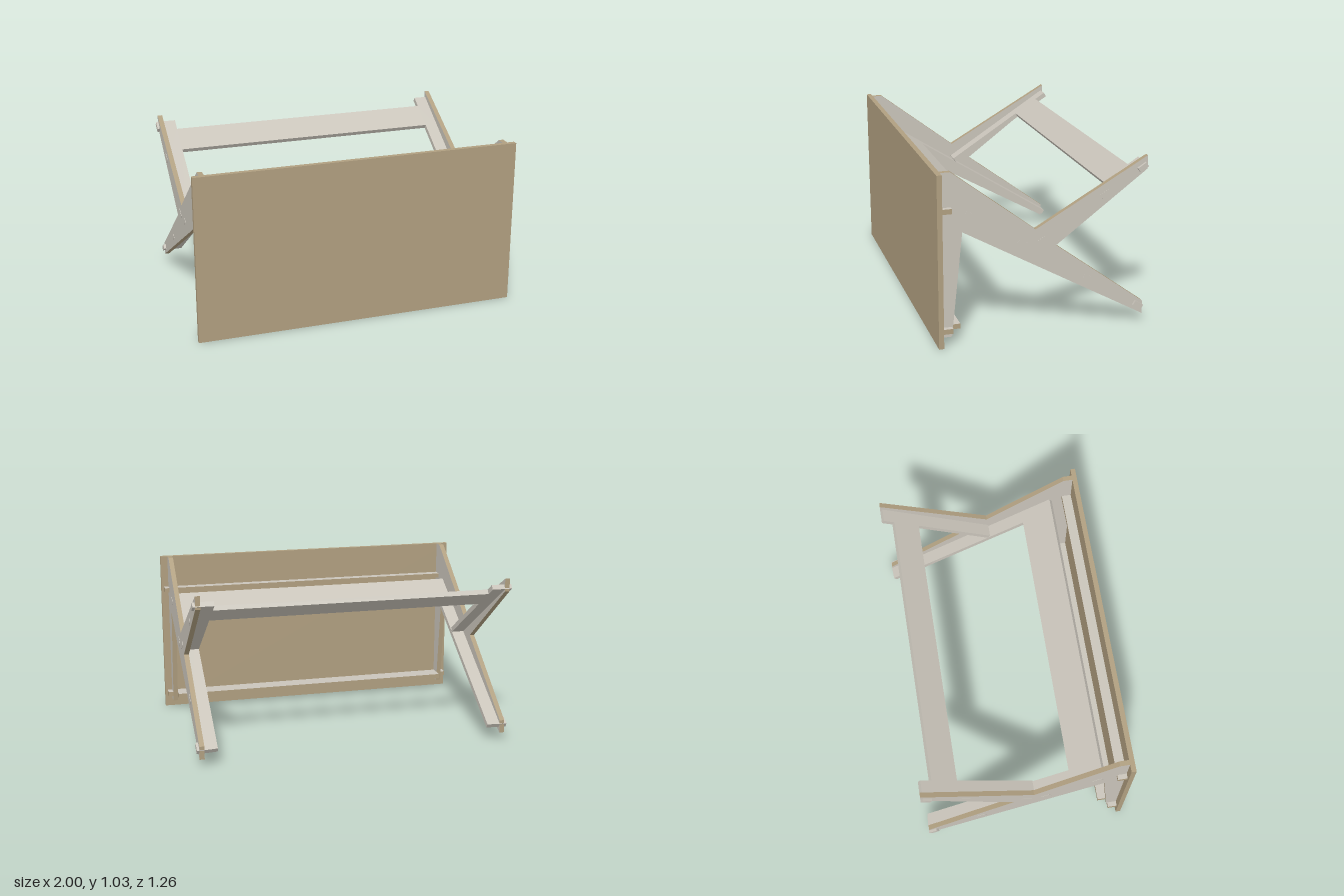
import * as THREE from 'three';

const T = 0.03;        // board thickness
const SLOPE = 1.0;     // tilt of the two cross frames from upright

const face = new THREE.MeshStandardMaterial({ color: 0xc9c4ba });
const edge = new THREE.MeshStandardMaterial({ color: 0xb09f80 });

const toShape = (pts) => new THREE.Shape(pts.map(([x, y]) => new THREE.Vector2(x, y)));

function extrude(pts, material, name) {
  const geo = new THREE.ExtrudeGeometry(toShape(pts), { depth: T, bevelEnabled: false });
  const mesh = new THREE.Mesh(geo, material);
  mesh.name = name;
  return mesh;
}

// Flat board with joint tabs: half outline mirrored across x = 0
function crossFrame(half, name, tilt, y) {
  const outline = [...half, ...half.map(([px, py]) => [-px, py]).reverse()];
  const mesh = extrude(outline, face, name);
  mesh.geometry.translate(0, 0, -T / 2);
  mesh.rotation.x = tilt;
  mesh.position.y = y;
  return mesh;
}

// Outer edge of a cross frame, with tabs centred at the given heights
function tabbedEdge(tabs) {
  return tabs.flatMap(([s, x]) => [[0.925, s - 0.03], [x, s - 0.03], [x, s + 0.03], [0.925, s + 0.03]]);
}

// Horizontal rail, narrower where it passes through the side frames
function rail(name, y, zBack) {
  const outline = [[0.985, 0.6], [0.985, 0.54], [0.925, 0.54], [0.925, zBack]];
  const mesh = extrude([...outline, ...outline.map(([x, z]) => [-x, z]).reverse()], [face, edge], name);
  mesh.geometry.rotateX(Math.PI / 2);   // lay flat: outline y becomes z
  mesh.position.y = y;
  return mesh;
}

export function createModel() {
  const group = new THREE.Group();

  // Large front board
  const panel = new THREE.Mesh(new THREE.BoxGeometry(2, 1.03, T), edge);
  panel.name = 'frontPanel';
  panel.position.set(0, 0.515, 0.613);
  group.add(panel);

  // Forked side frames, drawn as (z, y)
  const side = [
    [0.598, 1.03], [0.54, 1.03], [0.045, 0.648], [-0.628, 1.03], [-0.628, 0.95], [-0.08, 0.54],
    [-0.628, 0.13], [-0.628, 0.05], [0.475, 0.675], [0.54, 0.05], [0.598, 0.05],
  ];
  for (const [name, x] of [['leftSideFrame', 0.955], ['rightSideFrame', -0.925]]) {
    const mesh = extrude(side, [face, edge], name);
    mesh.rotation.y = -Math.PI / 2;
    mesh.position.x = x;
    group.add(mesh);
  }

  // Lower U-shaped frame, rising to the front
  group.add(crossFrame([
    [0.845, 0.335], [0.845, -0.735],
    ...tabbedEdge([[-0.71, 0.97], [-0.333, 0.957], [0.143, 0.957], [0.51, 0.957]]),
    [0.925, 0.555],
  ], 'lowerCrossFrame', SLOPE, 0.495));

  // Upper H-shaped frame, rising to the back
  group.add(crossFrame([
    [0.845, 0.49], [0.845, -0.055], [0.925, -0.055],
    ...tabbedEdge([[0, 0.957], [0.446, 0.957], [0.71, 0.97]]),
    [0.845, 0.74], [0.845, 0.665],
  ], 'upperCrossFrame', -SLOPE, 0.58));

  // Rails behind the front board
  group.add(rail('upperRail', 0.828, 0.54 - 0.0005));
  group.add(rail('lowerRail', 0.111, 0.483));

  return group;
}
